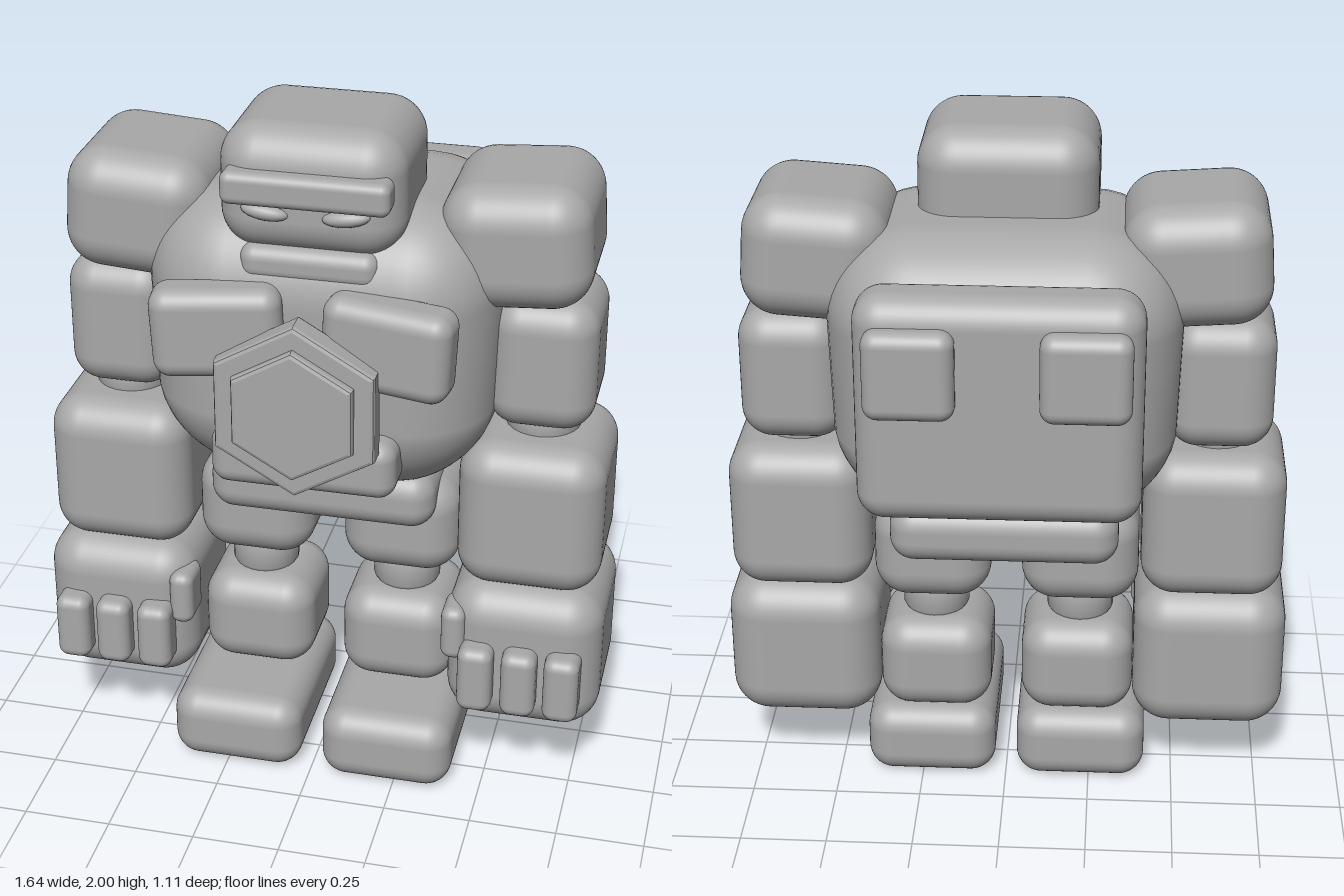
import * as THREE from 'three';
import { mergeVertices } from 'three/addons/utils/BufferGeometryUtils.js';
import { RoundedBoxGeometry } from 'three/addons/geometries/RoundedBoxGeometry.js';

const stone = new THREE.MeshStandardMaterial({ color: 0xa8a8a8 });
stone.name = 'stone grey';

// Soft block from its bounds [min, max] on each axis; taper narrows the lower half
function block(name, [x0, x1], [y0, y1], [z0, z1], radius, { rot = [0, 0, 0], taper = 0 } = {}) {
  const h = y1 - y0;
  let geo = new RoundedBoxGeometry(x1 - x0, h, z1 - z0, 6, radius);
  if (taper) {
    const p = geo.attributes.position;
    for (let i = 0; i < p.count; i++) {
      const t = Math.max(0, -p.getY(i) / (h / 2));
      const s = 1 - taper * t * t;
      p.setX(i, p.getX(i) * s);
      p.setZ(i, p.getZ(i) * s);
    }
    geo.deleteAttribute('normal');
    geo.deleteAttribute('uv');
    geo = mergeVertices(geo, 1e-4);
    geo.computeVertexNormals();
  }
  const mesh = new THREE.Mesh(geo, stone);
  mesh.name = name;
  mesh.position.set((x0 + x1) / 2, (y0 + y1) / 2, (z0 + z1) / 2);
  mesh.rotation.set(...rot);
  return mesh;
}

// Rounded joint between two limb blocks
function joint(name, x, y, z, r, h) {
  const pts = [[0, -h], [r * 0.8, -h], [r, -h * 0.5], [r, h * 0.5], [r * 0.8, h], [0, h]]
    .map(([a, b]) => new THREE.Vector2(a, b));
  const mesh = new THREE.Mesh(new THREE.LatheGeometry(pts, 24), stone);
  mesh.name = name;
  mesh.position.set(x, y, z);
  return mesh;
}

// Pointy-top hexagonal plate with a small bevel
function hexPlate(name, radius, z0, z1) {
  const bevel = 0.012;
  const shape = new THREE.Shape();
  for (let i = 0; i < 6; i++) {
    const a = Math.PI / 2 + i * Math.PI / 3;
    const r = radius - bevel;
    shape[i ? 'lineTo' : 'moveTo'](r * Math.cos(a), r * Math.sin(a));
  }
  shape.closePath();
  const geo = new THREE.ExtrudeGeometry(shape, {
    depth: z1 - z0 - 2 * bevel, bevelEnabled: true,
    bevelSize: bevel, bevelThickness: bevel, bevelSegments: 2,
  });
  const mesh = new THREE.Mesh(geo, stone);
  mesh.name = name;
  mesh.position.set(0, 1.28, z0 + bevel);
  return mesh;
}

export function createModel() {
  const model = new THREE.Group();
  model.name = 'golem';

  // Head
  const head = new THREE.Group();
  head.name = 'head';
  head.add(
    block('skull', [-0.25, 0.25], [1.65, 2.0], [-0.07, 0.385], 0.11),
    block('jaw', [-0.185, 0.19], [1.58, 1.68], [0.12, 0.385], 0.04),
    block('brow', [-0.22, 0.23], [1.81, 1.9], [0.34, 0.43], 0.025),
  );
  for (const s of [-1, 1]) {
    const eye = new THREE.Mesh(new THREE.SphereGeometry(1, 20, 12), stone);
    eye.name = 'eye';
    eye.scale.set(0.065, 0.023, 0.03);
    eye.position.set(s * 0.108, 1.785, 0.38);
    eye.rotation.z = s * 0.12;
    head.add(eye);
  }
  model.add(head);

  // Body, front plates and back slab
  model.add(
    block('torso', [-0.49, 0.49], [0.91, 1.77], [-0.385, 0.4], 0.26, { taper: 0.14 }),
    block('pelvis', [-0.325, 0.325], [0.785, 0.96], [-0.26, 0.26], 0.07),
    block('bellyPlate', [-0.255, 0.258], [1.0, 1.17], [0.3, 0.47], 0.05),
    hexPlate('emblemBase', 0.25, 0.45, 0.53),
    hexPlate('emblemFace', 0.188, 0.52, 0.557),
    block('backSlab', [-0.385, 0.385], [1.04, 1.69], [-0.5, -0.3], 0.08),
  );

  // Paired parts, given for the +x side and mirrored
  for (const s of [1, -1]) {
    const span = (a, b) => (s > 0 ? [a, b] : [-b, -a]);
    const side = s > 0 ? 'left' : 'right';
    const arm = new THREE.Group();
    arm.name = side + 'Arm';
    const leg = new THREE.Group();
    leg.name = side + 'Leg';

    arm.add(
      block('shoulder', span(0.32, 0.725), [1.485, 1.835], [-0.205, 0.265], 0.11, { rot: [0, 0, s * 0.07] }),
      block('upperArm', span(0.45, 0.75), [1.11, 1.5], [-0.16, 0.2], 0.09),
      joint('elbow', s * 0.6, 1.1, 0.045, 0.105, 0.06),
      block('forearm', span(0.39, 0.8), [0.635, 1.085], [-0.17, 0.28], 0.1),
      block('hand', span(0.375, 0.82), [0.2, 0.65], [-0.175, 0.31], 0.11),
      block('thumb', span(0.367, 0.437), [0.42, 0.585], [0.19, 0.32], 0.03),
    );
    for (const x of [0.475, 0.6, 0.722]) {
      arm.add(block('finger', span(x - 0.05, x + 0.05), [0.285, 0.49], [0.25, 0.372], 0.032));
    }

    leg.add(
      block('thigh', span(0.045, 0.385), [0.6, 0.91], [-0.155, 0.2], 0.1),
      joint('knee', s * 0.215, 0.56, 0.03, 0.098, 0.07),
      block('shin', span(0.045, 0.375), [0.22, 0.515], [-0.14, 0.2], 0.09),
      block('foot', span(0.032, 0.415), [0.005, 0.23], [-0.16, 0.41], 0.075),
    );

    model.add(
      arm, leg,
      block('chestPlate', span(0.055, 0.41), [1.325, 1.58], [0.345, 0.485], 0.05, { rot: [0, -s * 0.13, -s * 0.05] }),
      block('backPad', span(0.11, 0.353), [1.37, 1.62], [-0.555, -0.465], 0.04),
    );
  }
  return model;
}
